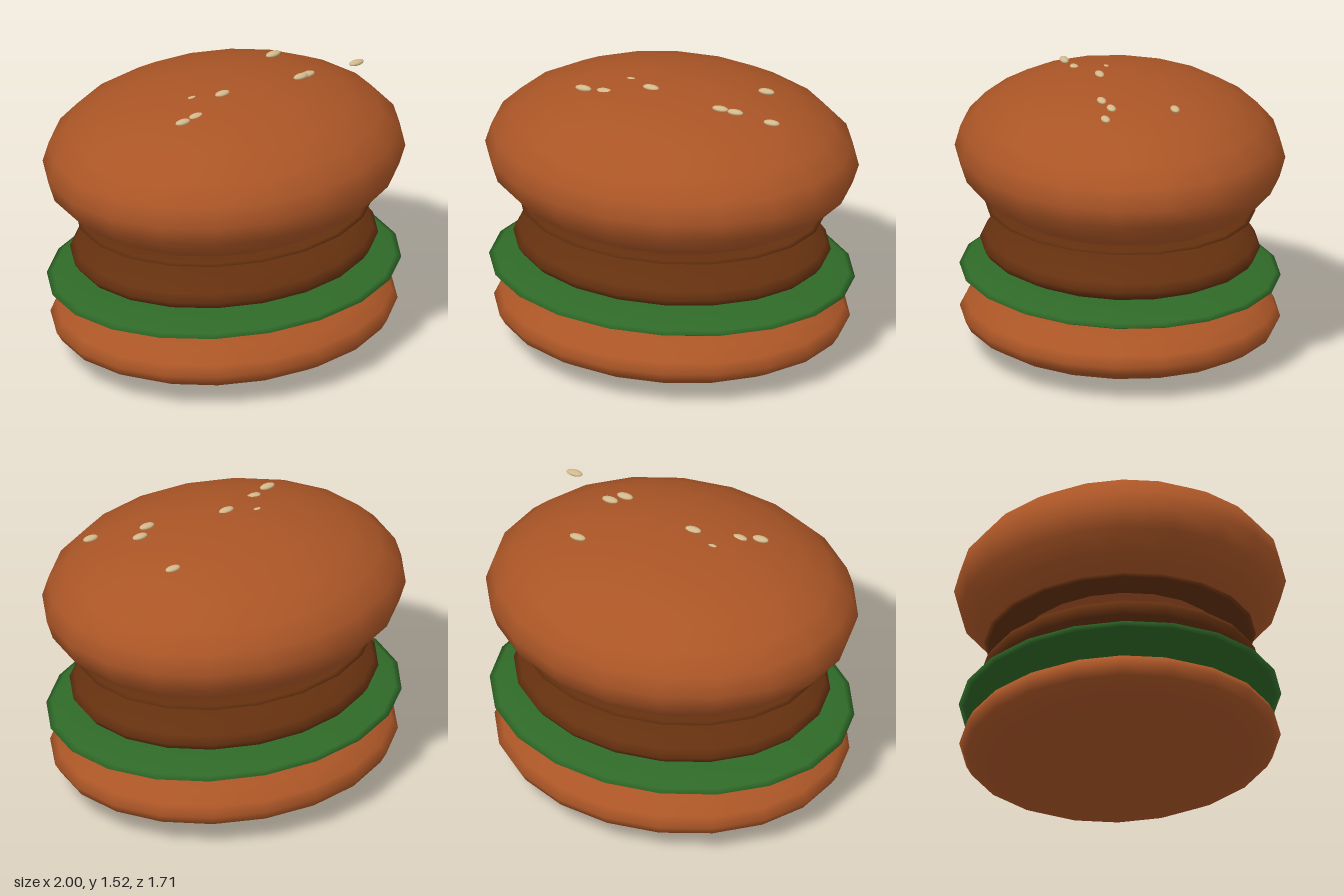
import * as THREE from 'three';

const material = (name, color) => {
  const m = new THREE.MeshStandardMaterial({ color });
  m.name = name;
  return m;
};

export function createModel() {
  const group = new THREE.Group();
  group.name = 'burger';
  const bun = material('bun brown', 0xaa5526);
  const meat = material('dark brown', 0x64300f);
  const green = material('lettuce green', 0x2f6a28);
  const cream = material('sesame cream', 0xd2b98c);

  // Every part is a squashed sphere: centre and three radii
  const layer = new THREE.SphereGeometry(1, 20, 12);
  const seed = new THREE.SphereGeometry(1, 16, 10);
  const add = (name, geometry, mat, centre, radii) => {
    const mesh = new THREE.Mesh(geometry, mat);
    mesh.name = name;
    mesh.position.set(...centre);
    mesh.scale.set(...radii);
    group.add(mesh);
  };

  // Stacked layers, bottom to top
  add('bottomBun', layer, bun, [0, 0.21, 0], [0.95, 0.205, 0.83]);
  add('lettuce', layer, green, [0, 0.44, 0], [0.98, 0.057, 0.83]);
  add('patty', layer, meat, [0, 0.59, 0], [0.85, 0.152, 0.725]);
  add('thinSlice', layer, meat, [0, 0.79, 0], [0.82, 0.03, 0.7]);
  add('topBun', layer, bun, [0, 1.09, 0], [1, 0.41, 0.855]);

  // Sesame seeds scattered over the top bun
  [
    [0.68, 1.51, 0.25], [0.36, 1.502, 0.19], [0.43, 1.48, 0.155], [0.46, 1.457, -0.18],
    [-0.08, 1.494, 0.09], [-0.42, 1.47, 0.195], [-0.31, 1.462, 0.167], [-0.22, 1.475, 0.017],
  ].forEach((p, i) => add(`sesameSeed${i + 1}`, seed, cream, p, [0.045, 0.015, 0.023]));

  return group;
}
